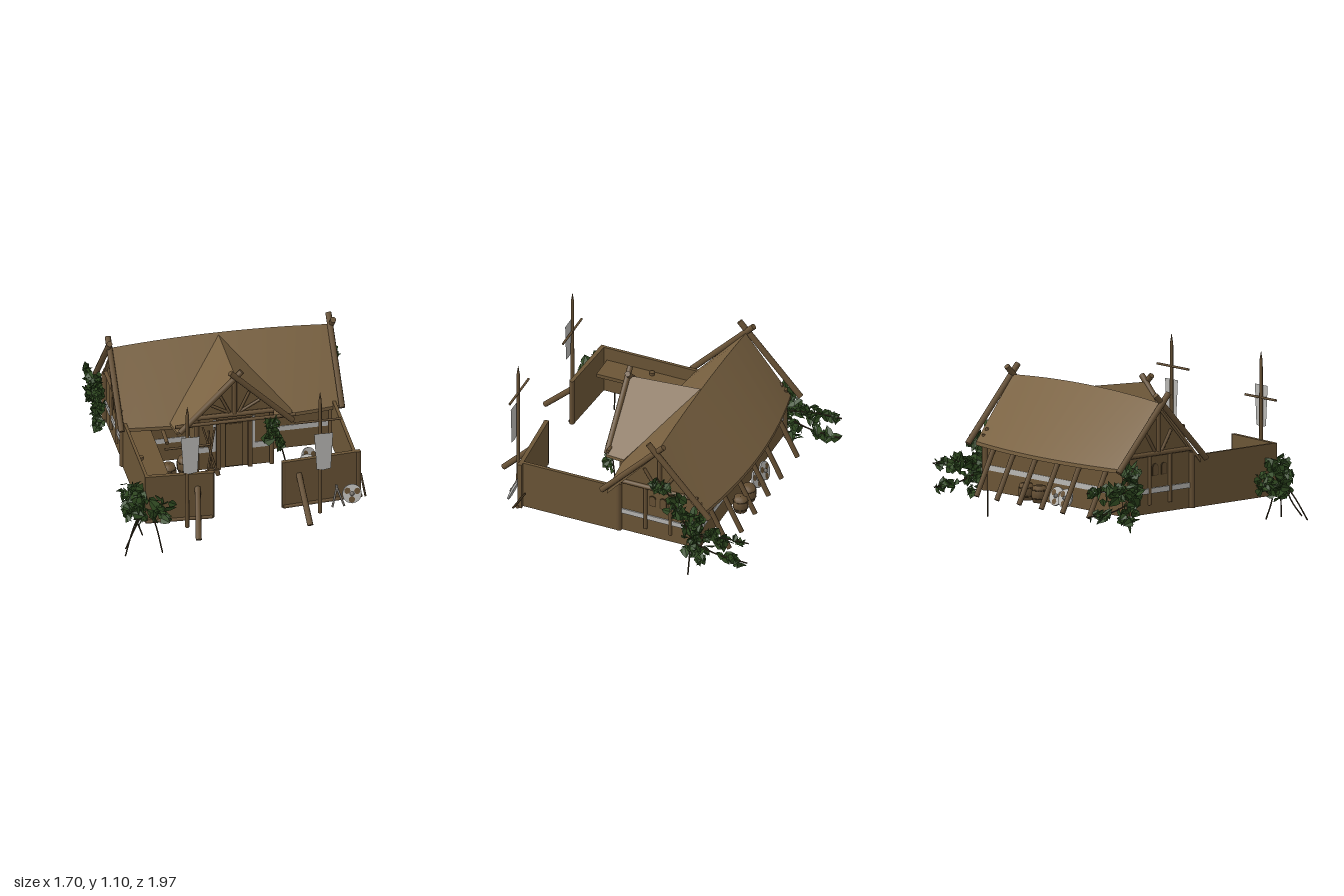
import * as THREE from 'three';
import { mergeGeometries } from 'three/addons/utils/BufferGeometryUtils.js';

const mat = (name, color, side = THREE.FrontSide) => {
  const m = new THREE.MeshStandardMaterial({ color, side });
  m.name = name;
  return m;
};
const V = (x, y, z) => new THREE.Vector3(x, y, z);

export function createModel() {
  const root = new THREE.Group();
  root.name = 'timberLodge';
  const roofM = mat('roofBrown', 0x7a6241), wallM = mat('wallBrown', 0x6b5536), logM = mat('logBrown', 0x665034);
  const darkM = mat('darkBrown', 0x44351f), whiteM = mat('paleCloth', 0xb8b7b4, THREE.DoubleSide);
  const leafM = mat('ivyGreen', 0x2f4a20, THREE.DoubleSide), stemM = mat('stemBrown', 0x3d3220), metalM = mat('greyMetal', 0x77726b);

  let seed = 7;
  const rnd = () => (seed = (seed * 16807) % 2147483647) / 2147483647;

  const add = (name, geo, m, parent = root) => {
    const mesh = new THREE.Mesh(geo, m);
    mesh.name = name;
    parent.add(mesh);
    return mesh;
  };
  // box given by its minimum and maximum corners
  const box = (name, a, b, m) => {
    const mesh = add(name, new THREE.BoxGeometry(b[0] - a[0], b[1] - a[1], b[2] - a[2]), m);
    mesh.position.set((a[0] + b[0]) / 2, (a[1] + b[1]) / 2, (a[2] + b[2]) / 2);
    return mesh;
  };
  // round log between two points
  const log = (name, a, b, r, m = logM, rTop = r) => {
    const p = V(...a), d = V(...b).sub(p);
    const mesh = add(name, new THREE.CylinderGeometry(rTop, r, d.length(), 8), m);
    mesh.position.copy(p).addScaledVector(d, 0.5);
    mesh.quaternion.setFromUnitVectors(V(0, 1, 0), d.normalize());
    return mesh;
  };
  // slab spanned by a surface function of u and v
  const slab = (name, f, t, n, m) => {
    const g = new THREE.BoxGeometry(1, 1, 1, n, 1, 1), p = g.attributes.position;
    for (let i = 0; i < p.count; i++) {
      const q = f(p.getX(i) + 0.5, p.getZ(i) + 0.5);
      p.setXYZ(i, q[0], q[1] + (p.getY(i) - 0.5) * t, q[2]);
    }
    g.computeVertexNormals();
    return add(name, g, m);
  };
  const outline = pts => new THREE.Shape(pts.map(p => new THREE.Vector2(...p)));
  const lerp = THREE.MathUtils.lerp;

  // main hall and porch bodies
  const hall = new THREE.ExtrudeGeometry(outline([[-0.59, 0.19], [-0.02, 0.19], [-0.02, 0.555], [-0.31, 0.88], [-0.59, 0.555]]), { depth: 1.38, bevelEnabled: false });
  add('hallBody', hall.rotateY(-Math.PI / 2).translate(0.7, 0, 0), wallM);
  const porch = new THREE.ExtrudeGeometry(outline([[-0.24, 0.19], [0.28, 0.19], [0.28, 0.6], [0.02, 0.86], [-0.24, 0.6]]), { depth: 0.3, bevelEnabled: false });
  add('porchBody', porch.translate(0, 0, -0.16), wallM);

  // bowed main roof
  const bow = u => 1 - (2 * u - 1) ** 2;
  const ridge = u => [lerp(-0.7, 0.75, u), 0.917 + 0.03 * bow(u), -0.31];
  const eave = (u, s) => [lerp(-0.7, 0.75, u), 0.51, s > 0 ? 0.045 + 0.05 * bow(u) : -0.63 - 0.08 * bow(u)];
  const mix = (a, b, t) => a.map((c, i) => lerp(c, b[i], t));
  slab('frontRoof', (u, v) => mix(ridge(u), eave(u, 1), v), 0.025, 14, roofM);
  slab('backRoof', (u, v) => mix(eave(u, -1), ridge(u), v), 0.025, 14, roofM);
  // porch roof running back into the ridge
  const pRidge = v => mix([0.01, 0.935, -0.31], [0.02, 0.905, 0.2], v);
  slab('porchRoofRight', (u, v) => mix(mix([-0.39, 0.53, 0.07], [-0.37, 0.53, 0.2], v), pRidge(v), u), 0.022, 1, roofM);
  slab('porchRoofLeft', (u, v) => mix(pRidge(v), mix([0.42, 0.53, 0.07], [0.41, 0.53, 0.2], v), u), 0.022, 1, roofM);

  // crossed barge logs, timber framing and windows on both gable ends
  for (const s of [-1, 1]) {
    const x = s > 0 ? 0.755 : -0.715, w = s > 0 ? 0.705 : -0.685;
    log('bargeLog', [x, 0.51, 0.08], [x, 0.975, -0.36], 0.02);
    log('bargeLog', [x + s * 0.01, 0.5, -0.69], [x + s * 0.01, 0.98, -0.255], 0.02);
    log('gableTie', [w, 0.585, -0.03], [w, 0.585, -0.58], 0.016);
    log('kingPost', [w, 0.58, -0.31], [w, 0.87, -0.31], 0.015);
    for (const d of [-1, 1]) {
      log('gableBrace', [w, 0.6, -0.31 + d * 0.03], [w, 0.73, -0.31 + d * 0.11], 0.011);
      log('gablePost', [w, 0.25, -0.297 + d * 0.088], [w, 0.58, -0.297 + d * 0.088], 0.013);
      log('cornerPost', [w, 0.19, -0.305 + d * 0.285], [w, 0.56, -0.305 + d * 0.285], 0.022);
      const win = new THREE.Shape();
      win.moveTo(-0.025, 0.44).lineTo(0.025, 0.44).lineTo(0.025, 0.495).absarc(0, 0.495, 0.025, 0, Math.PI);
      const frame = add('windowFrame', new THREE.ExtrudeGeometry(win, { depth: 0.006, bevelEnabled: false }), darkM);
      frame.rotation.y = s * Math.PI / 2;
      frame.position.set(w - s * 0.004, 0, -0.297 + d * 0.038);
      const pane = add('windowPane', new THREE.ShapeGeometry(win), logM);
      pane.rotation.y = s * Math.PI / 2;
      pane.scale.set(0.75, 0.9, 1);
      pane.position.set(w + s * 0.004, 0.047, -0.297 + d * 0.038);
    }
    box('sidePaleBand', [w - 0.006, 0.325, -0.57], [w + 0.003, 0.36, -0.04], whiteM);
  }
  box('backPaleBand', [-0.66, 0.325, -0.594], [0.68, 0.36, -0.588], whiteM);
  box('frontPaleBand', [-0.66, 0.325, -0.021], [0.68, 0.36, -0.016], whiteM);

  // leaning struts along the back wall
  for (const x of [-0.51, -0.25, -0.04, 0.18, 0.4, 0.6]) log('backStrut', [x, 0.18, -0.76], [x, 0.5, -0.6], 0.017);

  // porch front: barges, truss, door
  log('porchBarge', [-0.35, 0.53, 0.2], [0.06, 0.945, 0.2], 0.02);
  log('porchBarge', [0.4, 0.53, 0.2], [-0.02, 0.95, 0.215], 0.02);
  log('porchTie', [-0.38, 0.565, 0.185], [0.42, 0.565, 0.185], 0.012);
  log('porchTie', [-0.24, 0.6, 0.16], [0.28, 0.6, 0.16], 0.016);
  log('porchKingPost', [0.02, 0.6, 0.16], [0.02, 0.87, 0.16], 0.016);
  for (const s of [-1, 1]) {
    for (const [dx, y] of [[0.17, 0.69], [0.1, 0.76]]) log('porchBrace', [0.02 + s * 0.03, 0.61, 0.155], [0.02 + s * dx, y, 0.155], 0.01);
    log('porchPost', [0.02 + s * 0.25, 0.19, 0.15], [0.02 + s * 0.25, 0.6, 0.15], 0.016);
    box('doorJamb', [0.02 + s * 0.105 - 0.014, 0.19, 0.13], [0.02 + s * 0.105 + 0.014, 0.57, 0.165], logM);
    box('palePanel', [0.02 + s * 0.13 - 0.009, 0.32, 0.138], [0.02 + s * 0.13 + 0.009, 0.56, 0.145], whiteM);
    box('palePanel', [0.02 + s * 0.185 - 0.055, 0.32, 0.138], [0.02 + s * 0.185 + 0.055, 0.36, 0.145], whiteM);
  }
  box('doorLintel', [-0.1, 0.545, 0.13], [0.14, 0.575, 0.167], logM);
  box('door', [-0.04, 0.2, 0.13], [0.08, 0.53, 0.15], darkM);
  box('doorLeaf', [-0.034, 0.205, 0.145], [0.074, 0.525, 0.154], wallM);

  // yard walls and raised walkway
  box('leftYardWall', [0.7, 0.19, -0.02], [0.722, 0.535, 0.68], wallM);
  box('rightYardWall', [-0.69, 0.19, -0.02], [-0.67, 0.535, 0.7], wallM);
  box('walkway', [-0.68, 0.415, -0.02], [-0.5, 0.44, 0.665], wallM);
  box('frontWallRight', [-0.225, 0.19, -0.014], [0.225, 0.535, 0.014], wallM).position.set(-0.467, 0.3625, 0.715);
  root.children.at(-1).rotation.y = -0.07;
  box('frontWallLeft', [-0.265, 0.19, -0.014], [0.265, 0.535, 0.014], wallM).position.set(0.487, 0.3625, 0.685);
  root.children.at(-1).rotation.y = 0.07;
  log('wallEndPost', [-0.25, 0.19, 0.73], [-0.25, 0.535, 0.73], 0.017);
  log('wallEndPost', [0.235, 0.19, 0.703], [0.235, 0.535, 0.703], 0.017);
  log('wallCornerPost', [0.735, 0.19, 0.67], [0.735, 0.535, 0.67], 0.018);
  log('baseLog', [-0.69, 0.2, 0.72], [-0.25, 0.2, 0.745], 0.012);
  log('baseLog', [0.23, 0.2, 0.72], [0.76, 0.2, 0.68], 0.012);
  log('walkwayPost', [-0.64, 0.19, 0.33], [-0.64, 0.46, 0.33], 0.018);
  log('yardPost', [-0.43, 0.46, 0.0], [-0.43, 0.44, 0.17], 0.013);
  log('frontProp', [-0.39, 0.18, 0.98], [-0.345, 0.43, 0.73], 0.02);
  log('frontProp', [0.36, 0.18, 0.95], [0.335, 0.43, 0.7], 0.02);

  // banner poles
  for (const [x, bar, x0, x1, bx, top] of [[-0.43, 0.79, -0.58, -0.275, -0.413, 0.87], [0.455, 0.88, 0.285, 0.595, 0.475, 0.79]]) {
    log('bannerPole', [x, 0.18, 0.805], [x, 1.03, 0.805], 0.014, logM, 0.011);
    log('poleTip', [x, 1.03, 0.805], [x, 1.095, 0.805], 0.011, logM, 0.001);
    log('crossbar', [x0, bar, 0.805], [x1, bar, 0.805], 0.008);
    const cloth = outline([[-0.063, 0], [0.063, 0], [0.048, -0.27], [0, -0.278], [-0.046, -0.268]]);
    add('banner', new THREE.ShapeGeometry(cloth), whiteM).position.set(bx, top, 0.822);
  }

  // barrels and pots
  const barrel = (x, y, z, r, h, m = logM) => {
    const pts = [[0, 0], [0.8, 0], [1, 0.35], [1, 0.65], [0.8, 1], [0, 1]].map(p => new THREE.Vector2(p[0] * r, p[1] * h));
    add('barrel', new THREE.LatheGeometry(pts, 10), m).position.set(x, y, z);
    for (const k of [0.25, 0.75]) {
      const hoop = add('barrelHoop', new THREE.TorusGeometry(r * 0.94, 0.004, 4, 10), darkM);
      hoop.rotation.x = Math.PI / 2;
      hoop.position.set(x, y + h * k, z);
    }
  };
  barrel(-0.43, 0.19, 0.21, 0.052, 0.11);
  barrel(-0.31, 0.19, 0.14, 0.05, 0.11);
  barrel(0.47, 0.19, 0.63, 0.052, 0.11);
  barrel(0.37, 0.19, 0.64, 0.032, 0.07, whiteM);
  barrel(0.21, 0.2, -0.67, 0.052, 0.11);
  barrel(0.08, 0.2, -0.67, 0.052, 0.11);

  // round shields: pale face, brown quarters, metal boss
  const shield = (x, y, z, rx, ry) => {
    const g = new THREE.Group();
    g.name = 'shield';
    add('shieldDisc', new THREE.CylinderGeometry(0.064, 0.064, 0.012, 18).rotateX(Math.PI / 2), whiteM, g);
    for (let i = 0; i < 3; i++) add('shieldPatch', new THREE.CircleGeometry(0.022, 7).translate(0.038, 0, 0.007).rotateZ(i * 2.1 + 0.4), logM, g);
    add('shieldBoss', new THREE.SphereGeometry(0.015, 8, 6).translate(0, 0, 0.007), metalM, g);
    g.position.set(x, y, z);
    g.rotation.set(rx, ry, 0);
    root.add(g);
  };
  shield(0.68, 0.26, 0.745, -0.35, 0);
  shield(0.485, 0.23, 0.27, -0.9, 0);
  shield(0.51, 0.23, 0.19, -0.6, 0.6);
  shield(-0.08, 0.26, -0.66, 0.35, Math.PI);
  shield(-0.18, 0.26, -0.67, 0.35, Math.PI);

  // leaning oars and tools
  for (const [a, b] of [[[-0.2, 0.55, 0.2], [-0.12, 0.25, 0.25]], [[-0.12, 0.54, 0.2], [-0.18, 0.25, 0.26]], [[-0.16, 0.52, 0.2], [-0.15, 0.26, 0.24]]]) {
    log('oarShaft', a, b, 0.007);
    log('oarBlade', b, [b[0] + (b[0] - a[0]) * 0.15, b[1] - 0.04, b[2] + 0.01], 0.02, logM, 0.014);
  }
  for (const [a, b] of [[[0.54, 0.2, 0.79], [0.585, 0.33, 0.73]], [[0.62, 0.2, 0.79], [0.575, 0.33, 0.73]], [[0.47, 0.2, 0.46], [0.54, 0.24, 0.4]], [[0.5, 0.2, 0.4], [0.53, 0.25, 0.44]]])
    log('tool', a, b, 0.007, metalM);
  log('leaningSpear', [0.78, 0.2, 0.7], [0.765, 0.33, 0.62], 0.007, darkM);

  // ivy: folded leaves scattered in ellipsoid clumps (centre, radii, count)
  const clumps = [
    [-0.76, 0.32, 0.68, 0.08, 0.15, 0.13, 75], [-0.6, 0.33, 0.79, 0.09, 0.12, 0.04, 30], [-0.78, 0.3, 0.53, 0.05, 0.1, 0.07, 18],
    [0.78, 0.68, -0.35, 0.02, 0.06, 0.07, 20], [0.78, 0.54, -0.46, 0.02, 0.1, 0.08, 26],
    [0.26, 0.48, 0.21, 0.045, 0.11, 0.03, 34], [0.31, 0.37, 0.23, 0.03, 0.05, 0.02, 8],
  ];
  for (const x of [-0.735, 0.785]) clumps.push([x, 0.4, -0.59, 0.03, 0.16, 0.09, 55], [x, 0.21, -0.6, 0.03, 0.08, 0.1, 20],
    [x, 0.36, -0.75, 0.03, 0.07, 0.1, 26], [x, 0.4, -0.89, 0.015, 0.03, 0.08, 10], [x, 0.24, -0.85, 0.015, 0.03, 0.11, 12]);
  const leaf = new THREE.BufferGeometry();
  const k = 0.034;
  leaf.setAttribute('position', new THREE.Float32BufferAttribute([0, -1, 0, 0.9, -0.5, 0.3, 0.6, 0.4, 0.2, 0, 1.1, 0, -0.6, 0.4, 0.2, -0.9, -0.5, 0.3].map(c => c * k), 3));
  leaf.setIndex([0, 1, 2, 0, 2, 3, 0, 3, 4, 0, 4, 5]);
  const flat = leaf.toNonIndexed();
  flat.computeVertexNormals();
  const leaves = [];
  for (const [x, y, z, rx, ry, rz, n] of clumps) for (let i = 0; i < n; i++) {
    const d = V(rnd() - 0.5, rnd() - 0.5, rnd() - 0.5).normalize().multiplyScalar(Math.cbrt(rnd()));
    const s = 0.75 + rnd() * 0.5;
    leaves.push(flat.clone().scale(s, s, s).rotateZ(rnd() * 6.28).rotateX(rnd() * 2 - 1).rotateY(rnd() * 6.28)
      .translate(x + d.x * rx, y + d.y * ry, z + d.z * rz));
  }
  add('ivyLeaves', mergeGeometries(leaves), leafM);

  // ivy stems and trailing roots
  const stems = [
    [[-0.72, 0.3, 0.72], [-0.79, 0.18, 0.78], [-0.85, 0.03, 0.84]], [[-0.7, 0.3, 0.68], [-0.73, 0.18, 0.64], [-0.69, 0.04, 0.62]],
    [[-0.66, 0.3, 0.76], [-0.63, 0.18, 0.8], [-0.6, 0.02, 0.83]], [[-0.72, 0.28, 0.75], [-0.78, 0.16, 0.76], [-0.84, 0.06, 0.8]],
    [[0.3, 0.42, 0.2], [0.36, 0.2, 0.15], [0.38, 0.03, 0.16]], [[0.76, 0.4, -0.56], [0.74, 0.18, -0.54], [0.75, 0, -0.53]],
    [[0.78, 0.74, -0.32], [0.785, 0.55, -0.46], [0.785, 0.3, -0.58]],
  ];
  for (const x of [-0.735, 0.785]) stems.push([[x, 0.35, -0.58], [x, 0.39, -0.78], [x, 0.4, -0.98]], [[x, 0.3, -0.58], [x, 0.25, -0.75], [x, 0.24, -0.97]]);
  for (const s of stems) add('ivyStem', new THREE.TubeGeometry(new THREE.CatmullRomCurve3(s.map(p => V(...p))), 8, 0.005, 5), stemM);

  return root;
}
